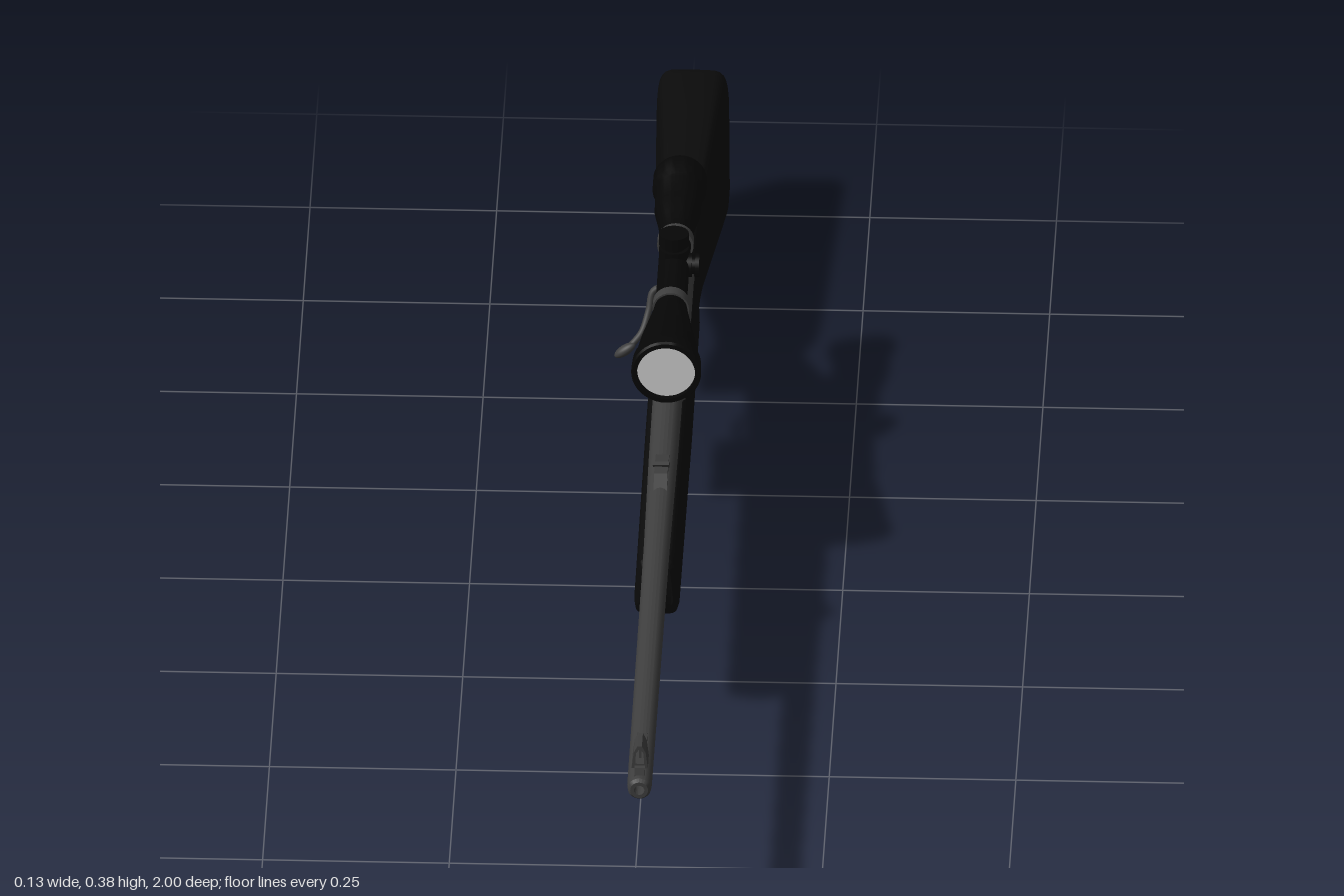
import * as THREE from 'three';
import { toCreasedNormals } from 'three/addons/utils/BufferGeometryUtils.js';

const CX = 0.0135; // centre line of the rifle
const AXIS = 0.262; // barrel height
const SCOPE_Y = 0.334;

const paint = (name, color) => Object.assign(new THREE.MeshStandardMaterial({ color }), { name });

export function createModel() {
  const stockMat = paint('black stock', 0x0b0b0b);
  const scopeMat = paint('black scope', 0x060606);
  const metal = paint('gunmetal', 0x3e3e3e);
  const magMat = paint('magazine grey', 0x484848);
  const glass = paint('pale glass', 0xd2d2d2);
  const group = new THREE.Group();

  const add = (name, geo, mat, x = 0, y = 0, z = 0) => {
    const mesh = new THREE.Mesh(geo, mat);
    mesh.name = name;
    mesh.position.set(x, y, z);
    group.add(mesh);
    return mesh;
  };

  // Closed body from sections [zTop, yTop, zBottom, yBottom, halfWidthTop, halfWidthBottom]
  const loft = (sections, power, n = 28) => {
    const pos = [], idx = [];
    const soft = (v) => Math.sign(v) * Math.abs(v) ** power;
    for (const [zt, yt, zb, yb, wt, wb] of sections) {
      for (let j = 0; j < n; j++) {
        const a = (j / n) * Math.PI * 2;
        const t = (soft(Math.sin(a)) + 1) / 2;
        pos.push(soft(Math.cos(a)) * (wb + (wt - wb) * t), yb + (yt - yb) * t, zb + (zt - zb) * t);
      }
    }
    const last = sections.length - 1;
    for (let i = 0; i < last; i++) {
      for (let j = 0; j < n; j++) {
        const a = i * n + j, b = i * n + (j + 1) % n;
        idx.push(a, a + n, b, b, a + n, b + n);
      }
    }
    for (let j = 1; j < n - 1; j++) {
      idx.push(0, j, j + 1, last * n, last * n + j + 1, last * n + j);
    }
    const geo = new THREE.BufferGeometry();
    geo.setAttribute('position', new THREE.Float32BufferAttribute(pos, 3));
    geo.setIndex(idx);
    return toCreasedNormals(geo, 0.6);
  };

  // Turned part along z from [z, radius] points, rear to front
  const turned = (points, seg = 32) => toCreasedNormals(
    new THREE.LatheGeometry(points.map(([z, r]) => new THREE.Vector2(r, z)), seg).rotateX(Math.PI / 2), 0.5);

  // Side profile [z, y] with a given thickness across x
  const plate = (points, width) => new THREE.ExtrudeGeometry(
    new THREE.Shape(points.map((p) => new THREE.Vector2(...p))), { depth: width, bevelEnabled: false })
    .rotateY(-Math.PI / 2).translate(width / 2, 0, 0);

  const tube = (points, r) => new THREE.TubeGeometry(
    new THREE.CatmullRomCurve3(points.map((p) => new THREE.Vector3(...p))), 28, r, 10);

  // Stock: forend, grip and butt
  add('stock', loft([
    [0.372, 0.245, 0.372, 0.185, 0.018, 0.024],
    [0.367, 0.256, 0.36, 0.167, 0.023, 0.03],
    [0.34, 0.258, 0.34, 0.163, 0.025, 0.032],
    [-0.1, 0.258, -0.1, 0.163, 0.026, 0.033],
    [-0.38, 0.258, -0.4, 0.163, 0.026, 0.032],
    [-0.44, 0.25, -0.455, 0.152, 0.024, 0.029],
    [-0.48, 0.236, -0.485, 0.122, 0.023, 0.025],
    [-0.51, 0.219, -0.495, 0.064, 0.022, 0.021],
    [-0.53, 0.208, -0.51, 0.051, 0.022, 0.02],
    [-0.545, 0.207, -0.555, 0.055, 0.022, 0.021],
    [-0.558, 0.219, -0.59, 0.071, 0.022, 0.023],
    [-0.575, 0.227, -0.612, 0.083, 0.023, 0.025],
    [-0.64, 0.23, -0.645, 0.084, 0.027, 0.028],
    [-0.98, 0.23, -0.97, 0.002, 0.048, 0.05],
    [-0.993, 0.228, -0.99, 0.0, 0.048, 0.05],
    [-1, 0.222, -1, 0.008, 0.045, 0.047],
  ], 0.33), stockMat, CX);

  // Barrel with open muzzle
  add('barrel', turned([[-0.08, 0.02], [0.1, 0.0195], [0.35, 0.0175], [0.985, 0.0165],
    [0.995, 0.0155], [1, 0.012], [1, 0.007], [0.94, 0.007]], 24), metal, CX, AXIS);
  add('bore', new THREE.CircleGeometry(0.0072, 20), scopeMat, CX, AXIS, 0.945);

  // Receiver and bolt
  add('receiver', loft([
    [-0.05, 0.282, -0.05, 0.235, 0.014, 0.022],
    [-0.065, 0.287, -0.065, 0.235, 0.015, 0.028],
    [-0.39, 0.287, -0.39, 0.235, 0.015, 0.028],
    [-0.43, 0.281, -0.43, 0.235, 0.013, 0.024],
    [-0.446, 0.27, -0.446, 0.238, 0.01, 0.018],
  ], 0.55), metal, CX);
  add('boltShroud', turned([[-0.452, 0], [-0.452, 0.01], [-0.44, 0.014], [-0.38, 0.016]], 20), metal, CX, 0.266);
  add('boltHandle', tube([[0.005, 0.268, -0.345], [-0.016, 0.26, -0.343], [-0.022, 0.235, -0.333],
    [-0.031, 0.21, -0.318], [-0.046, 0.193, -0.309]], 0.0045), metal);
  const knob = add('boltKnob', new THREE.SphereGeometry(1, 20, 14), metal, -0.053, 0.188, -0.307);
  knob.scale.set(0.017, 0.007, 0.0085);
  knob.rotation.z = 0.63;

  // Front sight: ramp, hood and post
  add('frontSightRamp', plate([[0.86, 0.274], [0.99, 0.27], [0.985, 0.288], [0.93, 0.292], [0.9, 0.286]], 0.014), metal, CX);
  const hood = new THREE.Shape();
  hood.moveTo(-0.011, 0.284).lineTo(0.011, 0.284).lineTo(0.008, 0.308).lineTo(0.003, 0.318)
    .lineTo(-0.003, 0.318).lineTo(-0.008, 0.308).closePath();
  const gap = new THREE.Path();
  gap.moveTo(-0.006, 0.291).lineTo(-0.005, 0.307).lineTo(0, 0.314).lineTo(0.005, 0.307).lineTo(0.006, 0.291).closePath();
  hood.holes.push(gap);
  add('frontSightHood', new THREE.ExtrudeGeometry(hood, { depth: 0.036, bevelEnabled: false }), metal, CX, 0, 0.943);
  add('frontSightPost', new THREE.BoxGeometry(0.003, 0.02, 0.006), metal, CX, 0.298, 0.96);

  // Rear sight: ramp and raised leaf
  add('rearSightRamp', plate([[0.23, 0.275], [0.13, 0.275], [0.135, 0.283], [0.175, 0.291], [0.2, 0.291]], 0.018), metal, CX);
  add('rearSightLeaf', plate([[0.168, 0.288], [0.178, 0.288], [0.2, 0.304], [0.194, 0.306]], 0.022), metal, CX);

  // Magazine with ribbed sides
  add('magazine', plate([[-0.207, 0.17], [-0.33, 0.17], [-0.327, 0.102], [-0.21, 0.102]], 0.036), magMat, CX);
  add('magazineFloor', new THREE.BoxGeometry(0.041, 0.007, 0.121), magMat, CX, 0.1015, -0.2685);
  for (const side of [-1, 1]) {
    for (let i = 0; i < 5; i++) {
      add('magazineRib', new THREE.BoxGeometry(0.003, 0.045, 0.008), magMat, CX + side * 0.0185, 0.133, -0.226 - i * 0.021);
    }
  }

  // Trigger and guard
  add('triggerGuard', tube([[CX, 0.168, -0.333], [CX, 0.13, -0.338], [CX, 0.112, -0.36],
    [CX, 0.112, -0.395], [CX, 0.13, -0.413], [CX, 0.168, -0.424]], 0.004), metal).scale.x = 1;
  add('trigger', tube([[CX, 0.168, -0.372], [CX, 0.148, -0.381], [CX, 0.126, -0.372]], 0.0035), metal);

  // Scope body and lenses
  add('scopeBody', turned([[-0.508, 0.029], [-0.52, 0.029], [-0.52, 0.034], [-0.515, 0.036], [-0.485, 0.036],
    [-0.475, 0.032], [-0.425, 0.031], [-0.39, 0.025], [-0.36, 0.021], [-0.175, 0.021], [-0.15, 0.024],
    [-0.075, 0.037], [-0.025, 0.043], [-0.02, 0.046], [0.003, 0.047], [0.007, 0.045], [0.007, 0.039], [-0.004, 0.039]], 40),
  scopeMat, CX, SCOPE_Y);
  add('frontLens', new THREE.CircleGeometry(0.0395, 40), glass, CX, SCOPE_Y, -0.001);
  add('rearLens', new THREE.CircleGeometry(0.0295, 32), glass, CX, SCOPE_Y, -0.513).rotation.y = Math.PI;

  // Adjustment turrets on top and side
  const turret = (name, height) => {
    const t = new THREE.Group();
    t.name = name;
    for (const [r, h, y] of [[0.02, 0.014, 0.02], [0.015, 0.006, 0.03], [0.02, height, 0.032 + height / 2]]) {
      const part = new THREE.Mesh(new THREE.CylinderGeometry(r, r, h, 24), scopeMat);
      part.name = name + 'Ring';
      part.position.y = y;
      t.add(part);
    }
    t.position.set(CX, SCOPE_Y, -0.285);
    group.add(t);
    return t;
  };
  turret('topTurret', 0.017);
  const sideTurret = turret('sideTurret', 0.006);
  sideTurret.rotation.z = -Math.PI / 2;
  sideTurret.scale.set(0.8, 0.9, 0.8);

  // Scope mounts
  for (const z of [-0.175, -0.345]) {
    add('scopeRing', new THREE.CylinderGeometry(0.0245, 0.0245, 0.018, 28).rotateX(Math.PI / 2), metal, CX, SCOPE_Y, z);
    add('scopePost', new THREE.BoxGeometry(0.018, 0.04, 0.018), metal, CX, 0.299, z);
    add('scopeBase', new THREE.BoxGeometry(0.028, 0.01, 0.04), metal, CX, 0.286, z);
  }
  return group;
}
